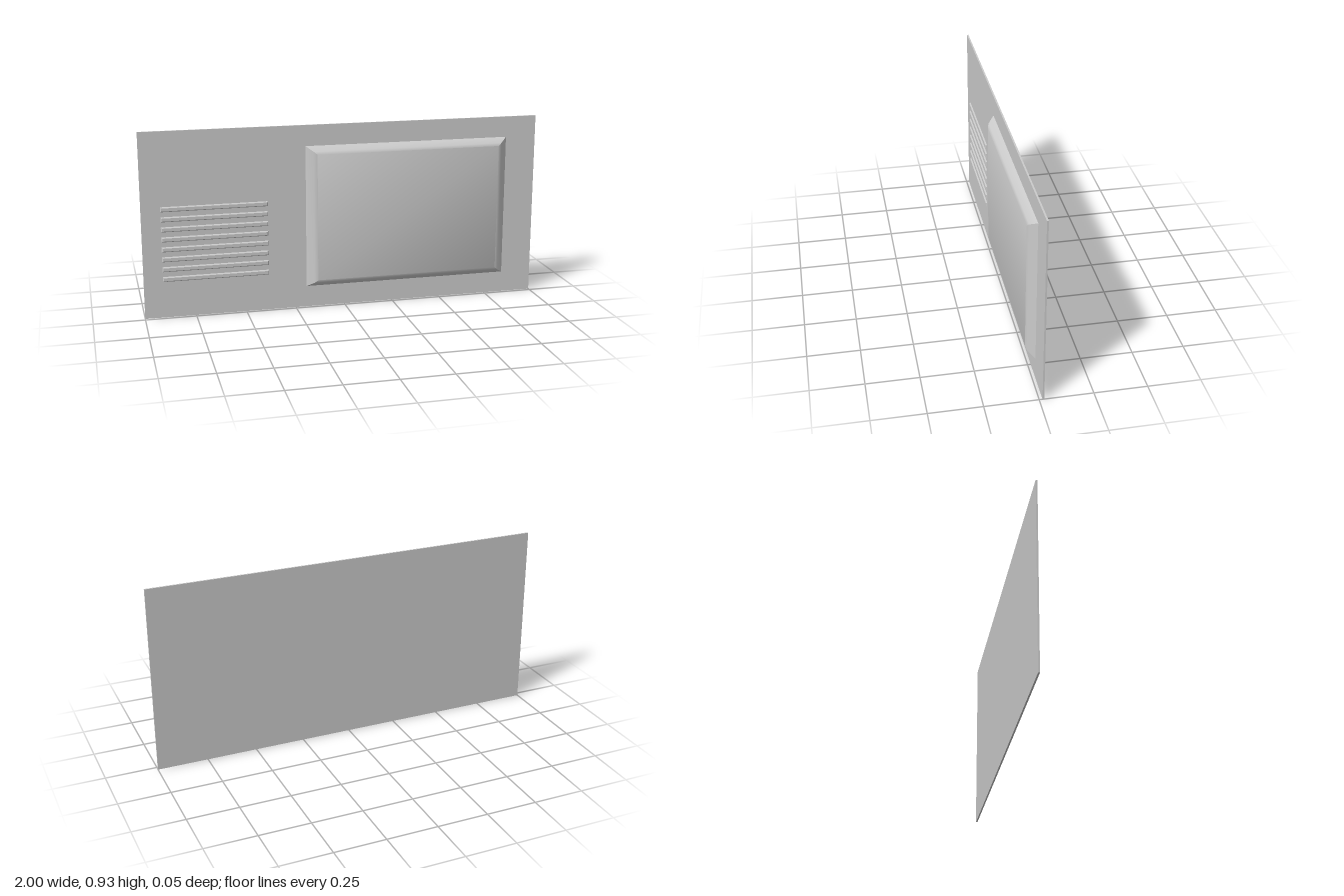
import * as THREE from 'three';
import { toCreasedNormals } from 'three/addons/utils/BufferGeometryUtils.js';

const material = new THREE.MeshStandardMaterial({ color: 0xcccccc });

// Raised rectangular form: each ring is [x inset, y inset, z], capped at the front
function raisedRect(x0, x1, y0, y1, rings, crease) {
  const pos = [], idx = [];
  for (const [ix, iy, z] of rings) {
    pos.push(x0 + ix, y0 + iy, z, x1 - ix, y0 + iy, z, x1 - ix, y1 - iy, z, x0 + ix, y1 - iy, z);
  }
  for (let r = 0; r < rings.length - 1; r++) {
    for (let i = 0; i < 4; i++) {
      const a = r * 4 + i, b = r * 4 + (i + 1) % 4;
      idx.push(a, b, b + 4, a, b + 4, a + 4);
    }
  }
  const f = (rings.length - 1) * 4;
  idx.push(f, f + 1, f + 2, f, f + 2, f + 3);
  const g = new THREE.BufferGeometry();
  g.setAttribute('position', new THREE.Float32BufferAttribute(pos, 3));
  g.setIndex(idx);
  return toCreasedNormals(g, crease);
}

export function createModel() {
  const group = new THREE.Group();
  const add = (name, geometry, parent = group) => {
    const mesh = new THREE.Mesh(geometry, material);
    mesh.name = name;
    parent.add(mesh);
    return mesh;
  };

  // Thin flat backing sheet
  const height = 0.926, back = -0.023, face = -0.015;
  add('backPanel', new THREE.BoxGeometry(2, height, face - back))
    .position.set(0, height / 2, (face + back) / 2);

  // Large raised panel with sloped sides and a softened front edge
  add('raisedPanel', raisedRect(-0.194, 0.844, 0.107, 0.822, [
    [0, 0, face],
    [0.035, 0.024, 0.016],
    [0.052, 0.038, 0.023],
  ], 0.47));

  // Stack of eight vent slats
  const vent = new THREE.Group();
  vent.name = 'vent';
  group.add(vent);
  for (let i = 0; i < 8; i++) {
    const y = 0.195 + i * 0.05;
    add('ventSlat', raisedRect(-0.907, -0.384, y - 0.0125, y + 0.0125, [
      [0, 0, face],
      [0.001, 0.001, -0.011],
      [0.005, 0.005, -0.008],
    ], 0.4), vent);
  }
  return group;
}
